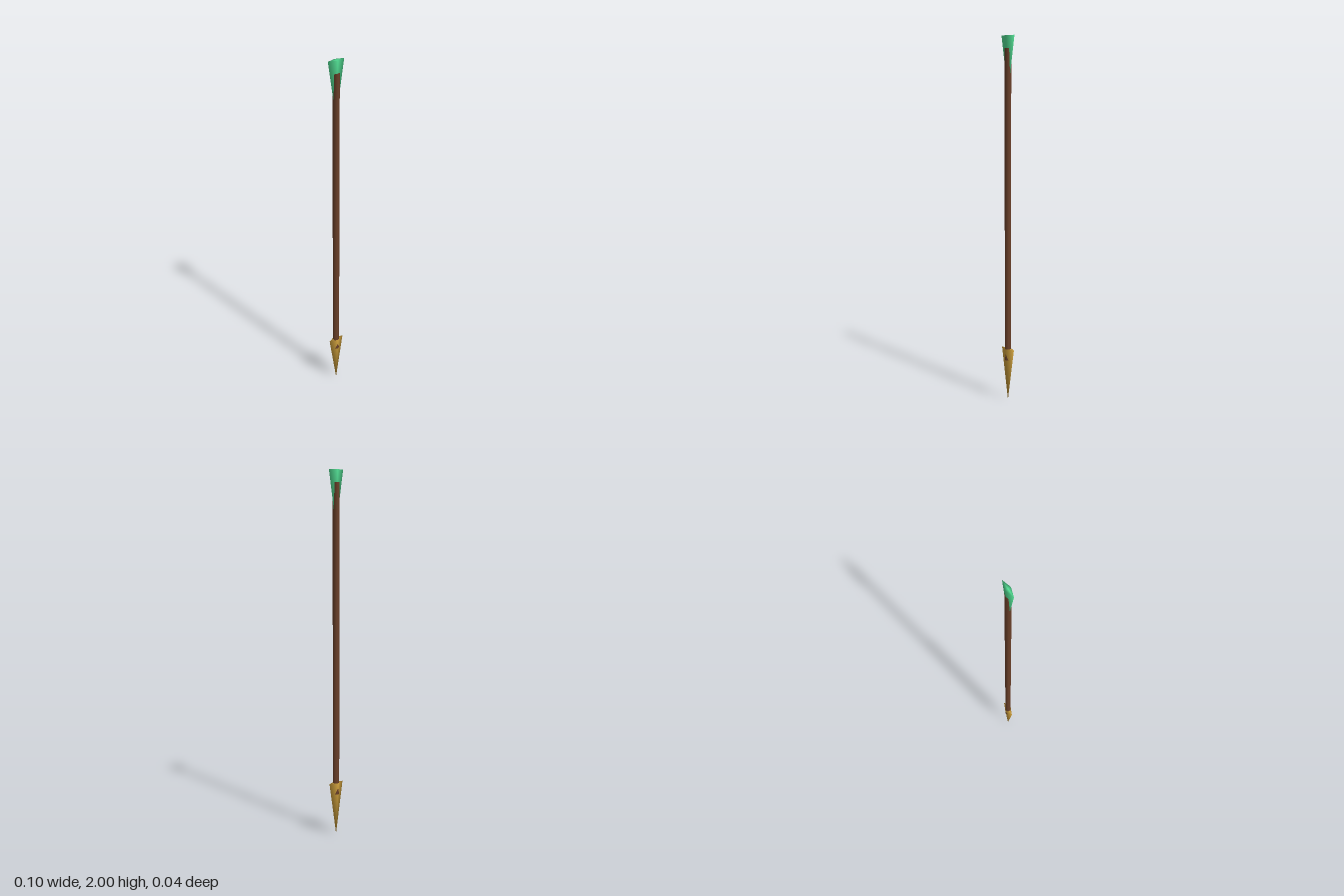
import * as THREE from 'three';
import { mergeVertices } from 'three/addons/utils/BufferGeometryUtils.js';

// Prism or cone between two heights, with normals blended over every edge
function softPart(name, color, sides, rTop, rBottom, y0, y1, sx, sz) {
  let geo = new THREE.CylinderGeometry(rTop, rBottom, y1 - y0, sides);
  geo.scale(sx, 1, sz);
  geo.translate(0, (y0 + y1) / 2, 0);
  geo.deleteAttribute('normal');
  geo.deleteAttribute('uv');
  geo = mergeVertices(geo, 1e-5);
  geo.computeVertexNormals();
  const mesh = new THREE.Mesh(geo, new THREE.MeshStandardMaterial({ color }));
  mesh.name = name;
  return mesh;
}

export function createModel() {
  const arrow = new THREE.Group();
  arrow.name = 'arrow';

  // Hexagonal shaft, its ridges breaking through the head and the fletching
  arrow.add(softPart('shaft', 0x6b4029, 6, 1, 1, 0.235, 1.935, 0.018, 0.018));

  // Flat diamond-section head, point down
  arrow.add(softPart('arrowHead', 0xd9a840, 4, 1, 0, 0, 0.3, 0.047, 0.02));

  // Flat diamond-section fletching, its point buried in the shaft
  arrow.add(softPart('fletching', 0x55e699, 4, 1, 0, 1.7, 2, 0.048, 0.015));

  return arrow;
}
